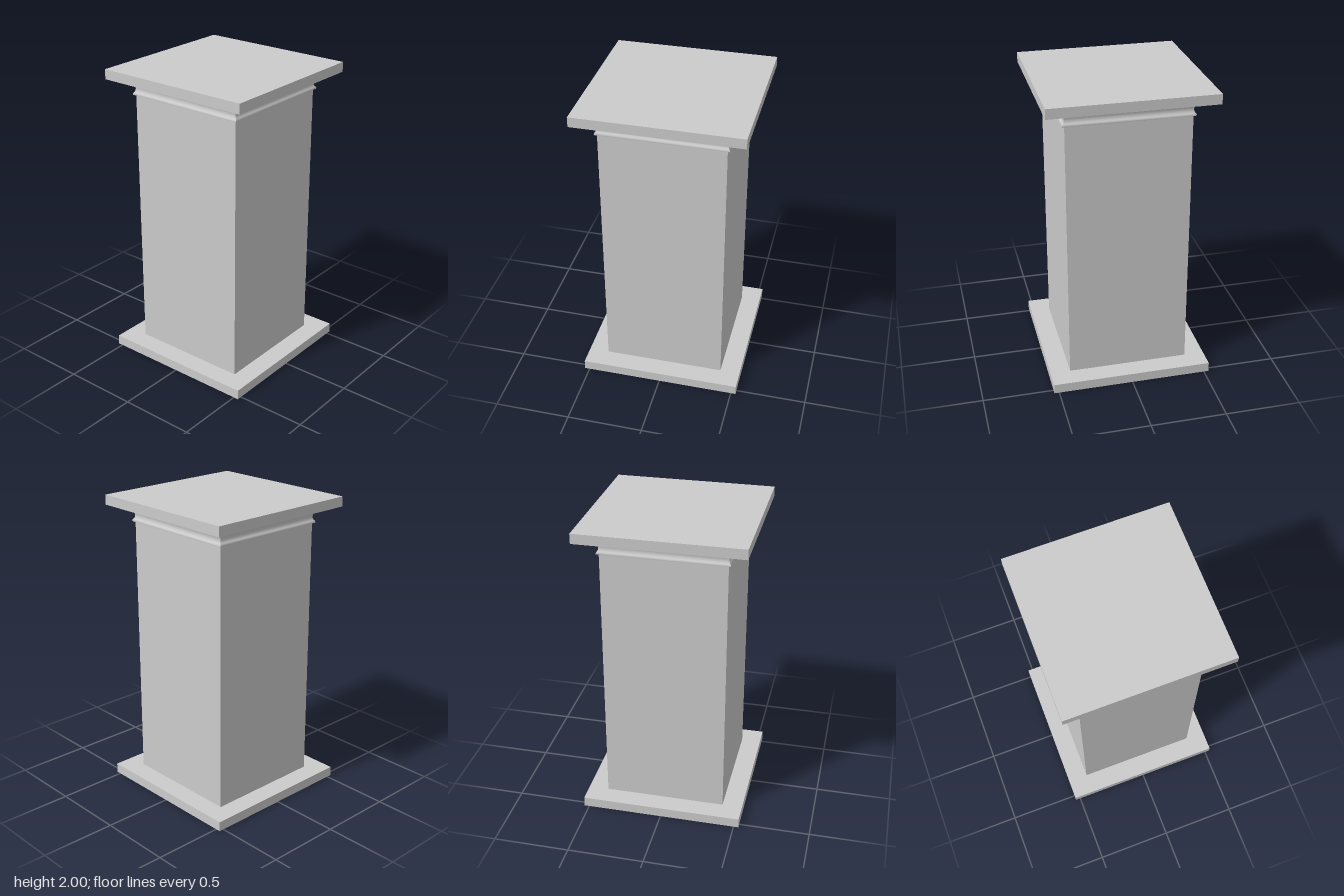
import * as THREE from 'three';
import { toCreasedNormals } from 'three/addons/utils/BufferGeometryUtils.js';

const SLAB = 1.066, SLAB_H = 0.065, SHAFT = 0.8, HEIGHT = 2;

export function createModel() {
  const group = new THREE.Group();
  const material = new THREE.MeshStandardMaterial({ color: 0xcccccc });

  const add = (name, geometry, y = 0) => {
    const mesh = new THREE.Mesh(geometry, material);
    mesh.name = name;
    mesh.position.y = y;
    group.add(mesh);
  };

  // Square slabs at the foot and the top
  const slab = new THREE.BoxGeometry(SLAB, SLAB_H, SLAB);
  add('basePlinth', slab, SLAB_H / 2);
  add('capSlab', slab, HEIGHT - SLAB_H / 2);

  // Plain square shaft between the slabs
  add('shaft', new THREE.BoxGeometry(SHAFT, HEIGHT - 2 * SLAB_H, SHAFT), HEIGHT / 2);

  // Mitred moulding under the cap: [half width, height], a bead below a flaring cove
  const profile = [
    [0.398, 1.828], [0.414, 1.828], [0.415, 1.834], [0.412, 1.842],
    [0.406, 1.848], [0.403, 1.856], [0.401, 1.866], [0.403, 1.88],
    [0.408, 1.895], [0.415, 1.911], [0.419, 1.922], [0.424, 1.935],
  ].map(([w, y]) => new THREE.Vector2(w * Math.SQRT2, y));
  const moulding = new THREE.LatheGeometry(profile, 4, Math.PI / 4);
  add('capMoulding', toCreasedNormals(moulding, 0.6));

  return group;
}
